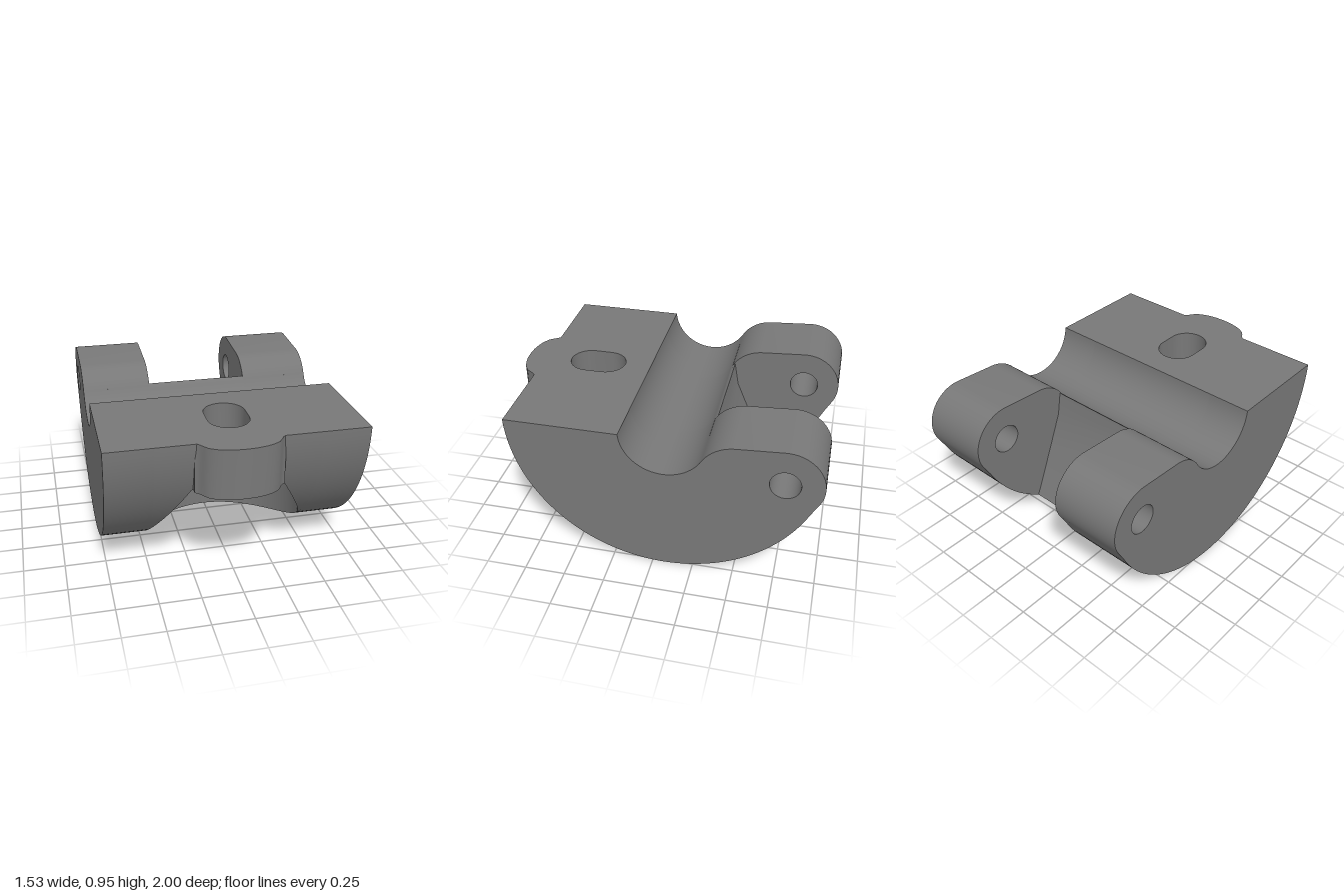
import * as THREE from 'three';
import { toCreasedNormals } from 'three/addons/utils/BufferGeometryUtils.js';

const HALF = 0.765, LUG = 0.325, POCKET = 0.485;   // x extents
const TOP = 0.93, ROOF = 0.625;                    // y levels
const CZ = -0.07, CY = 0.95, R = 0.95, GROOVE = 0.26; // shared axis of outer curve and groove
const PZ = CZ + POCKET;                            // pocket centre in z

export function createModel() {
  const group = new THREE.Group();
  const gray = new THREE.MeshStandardMaterial({ color: 0x787878, side: THREE.DoubleSide });
  gray.name = 'grayMetal';

  const add = (name, geometry) => {
    const mesh = new THREE.Mesh(geometry, gray);
    mesh.name = name;
    group.add(mesh);
  };

  // Arc points as [z, y]
  const arc = (z, y, r, a0, a1, n) => Array.from({ length: n + 1 }, (_, i) => {
    const a = a0 + (a1 - a0) * i / n;
    return [z + r * Math.cos(a), y + r * Math.sin(a)];
  });
  const down = -Math.PI / 2;
  const outer = (a0, a1, n) => arc(CZ, CY, R, down + a0, down + a1, n);
  const outerY = z => CY - Math.sqrt(Math.max(0, R * R - (z - CZ) ** 2));

  // Side profile extruded across x
  const slab = (points, x0, x1, hole) => {
    const shape = new THREE.Shape(points.map(([z, y]) => new THREE.Vector2(-z, y)));
    if (hole) shape.holes.push(new THREE.Path().absarc(-hole[0], hole[1], hole[2], 0, Math.PI * 2, true));
    const g = new THREE.ExtrudeGeometry(shape, { depth: x1 - x0, bevelEnabled: false, curveSegments: 16 });
    g.rotateY(Math.PI / 2).translate(x0, 0, 0);
    return toCreasedNormals(g, 0.5);
  };

  // Grid surface from fn(u, v) => [x, y, z]
  const sheet = (fn, nu, nv) => {
    const pos = [], index = [];
    for (let i = 0; i <= nu; i++) for (let j = 0; j <= nv; j++) pos.push(...fn(i / nu, j / nv));
    for (let i = 0; i < nu; i++) for (let j = 0; j < nv; j++) {
      const a = i * (nv + 1) + j, b = a + nv + 1;
      index.push(a, b, a + 1, b, b + 1, a + 1);
    }
    const g = new THREE.BufferGeometry();
    g.setAttribute('position', new THREE.Float32BufferAttribute(pos, 3));
    g.setIndex(index);
    g.computeVertexNormals();
    return g;
  };

  // Vertical wall following [x, z] points
  const wall = (pts, y0, y1) => toCreasedNormals(sheet((u, v) => {
    const [x, z] = pts[Math.round(u * (pts.length - 1))];
    return [x, y0 + (y1 - y0) * v, z];
  }, pts.length - 1, 1), 0.7);

  // Level face from [x, z] points with a hole
  const level = (pts, hole, y) => {
    const shape = new THREE.Shape(pts.map(p => new THREE.Vector2(...p)));
    shape.holes.push(new THREE.Path(hole.map(p => new THREE.Vector2(...p))));
    return new THREE.ShapeGeometry(shape).rotateX(Math.PI / 2).translate(0, y, 0);
  };

  // Rear lugs with pin holes
  const lug = [
    ...outer(0, -1.13, 24),
    ...arc(-0.775, 0.73, 0.225, -2.63, -4.77, 20),
    ...arc(-0.5, 0.7, 0.237, 1.51, 0.527, 10),
    ...arc(CZ, CY, GROOVE, -2.615, down, 12),
  ];
  add('leftLug', slab(lug, LUG, HALF, [-0.775, 0.73, 0.09]));
  add('rightLug', slab(lug, -HALF, -LUG, [-0.775, 0.73, 0.09]));

  // Body between the lugs, with the sloping slot floor
  add('slotFloorBody', slab([
    ...outer(0, -0.548, 12),
    [-0.54, 0.19], [-0.43, 0.45], [-0.335, 0.68], [-0.31, 0.83],
    ...arc(CZ, CY, GROOVE, -2.615, down, 12),
  ], -LUG, LUG));

  // Solid front cheeks on both sides of the pocket
  const aTop = Math.acos((CY - TOP) / R);
  const cheek = [...outer(0, aTop, 30), ...arc(CZ, CY, GROOVE, -0.077, down, 16)];
  add('leftCheek', slab(cheek, POCKET, HALF));
  add('rightCheek', slab(cheek, -HALF, -POCKET));

  // Groove surface between the cheeks
  add('groove', sheet((u, v) => {
    const a = down + (down * -1 - 0.077) * v;
    return [POCKET * (2 * u - 1), CY + GROOVE * Math.sin(a), CZ + GROOVE * Math.cos(a)];
  }, 1, 16));

  // Curved outer skin behind and in front of the pocket opening
  const aRoof = Math.acos((CY - ROOF) / R), zRoof = CZ + R * Math.sin(aRoof);
  const skin = (x, a) => [x, CY - R * Math.cos(a), CZ + R * Math.sin(a)];
  const angleAt = z => Math.asin(Math.min(1, (z - CZ) / R));
  const across = u => POCKET * -Math.cos(Math.PI * u);
  const chord = x => Math.sqrt(Math.max(0, POCKET * POCKET - x * x));
  add('rearSkin', sheet((u, v) => {
    const x = across(u);
    return skin(x, angleAt(PZ - chord(x)) * v);
  }, 48, 12));
  add('frontSkin', sheet((u, v) => {
    const x = across(u), a = angleAt(Math.min(zRoof, PZ + chord(x)));
    return skin(x, a + (aTop - a) * v);
  }, 48, 20));

  // Round pocket wall, open through the outer curve
  const bMax = Math.acos((PZ - zRoof) / POCKET);
  const pocketAt = u => {
    const b = bMax * (2 * u - 1);
    return [POCKET * Math.sin(b), PZ - POCKET * Math.cos(b)];
  };
  add('pocketWall', sheet((u, v) => {
    const [x, z] = pocketAt(u), y = outerY(z);
    return [x, y + (ROOF - y) * v, z];
  }, 64, 4));

  // Front boss outline, mirrored
  const half = [[0.262, 0.8], [0.262, 0.872], [0.25, 0.88], [0.235, 0.895], [0.22, 0.92],
    [0.2, 0.945], [0.165, 0.968], [0.12, 0.985], [0.06, 0.997]];
  const boss = [...half, [0, 1], ...half.map(([x, z]) => [-x, z]).reverse()];
  add('bossWall', wall(boss, ROOF, TOP));

  // Elongated bolt hole
  const bolt = [...arc(0, 0.59, 0.125, 0, Math.PI, 16), ...arc(0, 0.48, 0.125, Math.PI, Math.PI * 2, 16)];
  add('boltHoleWall', wall([...bolt, bolt[0]], ROOF, TOP));

  // Top face and pocket roof
  const zTop = CZ + R * Math.sin(aTop), zGroove = CZ + GROOVE * Math.cos(0.077);
  add('topFace', level([[-POCKET, zGroove], [POCKET, zGroove], [POCKET, zTop],
    ...boss.slice(2, -2), [-POCKET, zTop]], bolt, TOP));
  const rim = Array.from({ length: 49 }, (_, i) => pocketAt(i / 48));
  add('pocketRoof', level([...rim, ...boss.slice(1, -1)], bolt, ROOF));

  return group;
}
